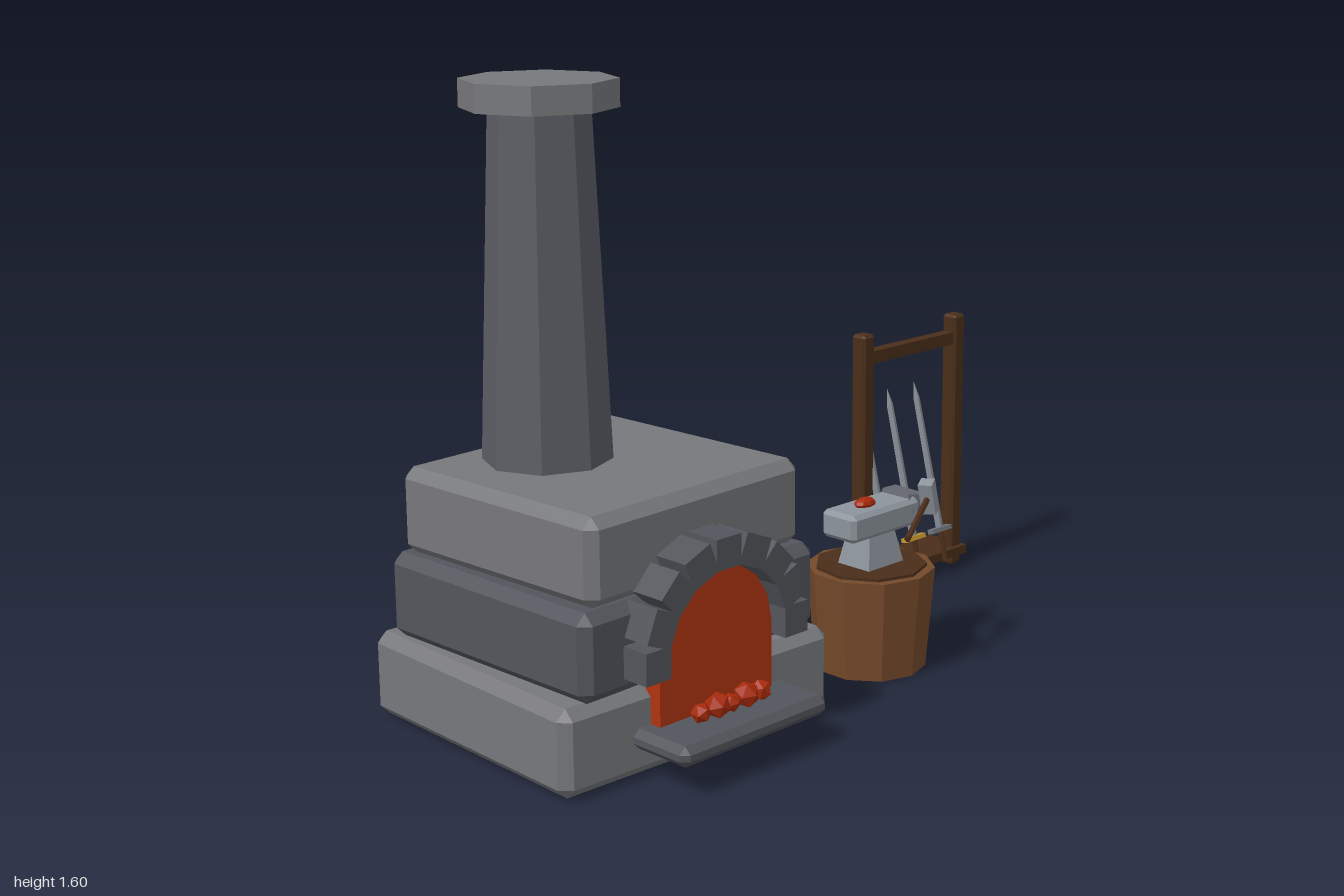
import * as THREE from 'three';
import { ConvexGeometry } from 'three/addons/geometries/ConvexGeometry.js';
import { toCreasedNormals } from 'three/addons/utils/BufferGeometryUtils.js';

const COLORS = {
  stone: 0x77787b, darkStone: 0x53555c, chimney: 0x5b5d64, fire: 0xb03410, ember: 0xa82a0a,
  wood: 0x74492a, darkWood: 0x4a2e1a, steel: 0x8d949c, iron: 0x6f747b, gold: 0xc8962c,
};
const mats = {};
for (const k in COLORS) mats[k] = new THREE.MeshStandardMaterial({ color: COLORS[k], flatShading: true });
const smoothWood = new THREE.MeshStandardMaterial({ color: COLORS.wood });
const smoothIron = new THREE.MeshStandardMaterial({ color: COLORS.iron });

function add(parent, name, geometry, material, x = 0, y = 0, z = 0) {
  const mesh = new THREE.Mesh(geometry, material);
  mesh.name = name;
  mesh.position.set(x, y, z);
  parent.add(mesh);
  return mesh;
}

function group(parent, name, x = 0, y = 0, z = 0) {
  const g = new THREE.Group();
  g.name = name;
  g.position.set(x, y, z);
  parent.add(g);
  return g;
}

// Box with every edge cut at 45 degrees
function chamferBox(w, h, d, c) {
  const pts = [], a = w / 2, b = h / 2, e = d / 2;
  for (const i of [-1, 1]) for (const j of [-1, 1]) for (const k of [-1, 1]) {
    pts.push(new THREE.Vector3(i * a, j * (b - c), k * (e - c)));
    pts.push(new THREE.Vector3(i * (a - c), j * b, k * (e - c)));
    pts.push(new THREE.Vector3(i * (a - c), j * (b - c), k * e));
  }
  return new ConvexGeometry(pts);
}

function buildFurnace(root) {
  const furnace = group(root, 'furnace');
  // Stacked slabs, each slightly turned: width, height, depth, y, z, turn
  const slabs = [
    [0.858, 0.22, 0.772, 0.115, -0.08, -0.037, 'stone'],
    [0.785, 0.22, 0.722, 0.333, -0.068, 0.02, 'darkStone'],
    [0.722, 0.22, 0.683, 0.55, -0.07, 0.04, 'stone'],
  ];
  for (const [w, h, d, y, z, turn, m] of slabs)
    add(furnace, 'stoneSlab', chamferBox(w, h, d, 0.027), mats[m], -0.552, y, z).rotation.y = turn;

  // Chimney and cap
  add(furnace, 'chimney', new THREE.CylinderGeometry(0.125, 0.164, 0.9, 8), mats.chimney, -0.62, 1.09, -0.194);
  add(furnace, 'chimneyCap', new THREE.CylinderGeometry(0.194, 0.194, 0.07, 8), mats.stone, -0.62, 1.565, -0.194);

  // Glowing mouth
  const mouth = new THREE.Shape();
  mouth.moveTo(-0.186, 0.12);
  mouth.lineTo(0.186, 0.12);
  for (let i = 0; i <= 8; i++) {
    const a = (i / 8) * Math.PI;
    mouth.lineTo(0.186 * Math.cos(a), 0.3 + 0.186 * Math.sin(a));
  }
  add(furnace, 'fireMouth', new THREE.ExtrudeGeometry(mouth, { depth: 0.1, bevelEnabled: false }),
    mats.fire, -0.55, 0, 0.232);

  // Arch stones
  for (let i = 0; i < 9; i++) {
    const a = (i / 8) * Math.PI;
    const stone = add(furnace, 'archStone', new THREE.BoxGeometry(0.078, i % 2 ? 0.086 : 0.08, 0.1), mats.darkStone,
      -0.55 + 0.228 * Math.cos(a), 0.305 + 0.222 * Math.sin(a), 0.326);
    stone.rotation.z = a;
  }

  // Hearth shelf and embers
  add(furnace, 'hearthShelf', chamferBox(0.485, 0.052, 0.25, 0.018), mats.darkStone, -0.547, 0.104, 0.347);
  [[-0.65, 0.026], [-0.6, 0.033], [-0.55, 0.024], [-0.505, 0.033], [-0.45, 0.028]].forEach(([x, r], i) => {
    const ember = add(furnace, 'ember', new THREE.IcosahedronGeometry(r, 0), mats.ember,
      x, 0.13 + r, 0.38 + (i % 2) * 0.006);
    ember.rotation.set(i, i * 0.7, 0);
  });
}

function buildBarrel(root) {
  const barrel = group(root, 'barrel', -0.005, 0, -0.293);
  const profile = [[0, 0.005], [0.138, 0.005], [0.155, 0.075], [0.163, 0.15], [0.155, 0.225], [0.14, 0.295], [0, 0.295]]
    .map(([x, y]) => new THREE.Vector2(x, y));
  add(barrel, 'barrelBody', toCreasedNormals(new THREE.LatheGeometry(profile, 16), 0.8), smoothWood);
  for (const y of [0.05, 0.248])
    add(barrel, 'barrelHoop', new THREE.TorusGeometry(0.155, 0.009, 6, 16), smoothIron, 0, y, 0).rotation.x = Math.PI / 2;
}

function buildAnvil(root) {
  const station = group(root, 'anvilStation', 0.183, 0, 0.165);
  add(station, 'stump', new THREE.CylinderGeometry(0.172, 0.15, 0.275, 10), mats.wood, 0, 0.1375, 0);
  add(station, 'stumpTop', new THREE.CylinderGeometry(0.15, 0.15, 0.012, 9), mats.darkWood, 0, 0.277, 0);

  // Tapered waist with four sides
  const waist = new THREE.CylinderGeometry(0.5, 0.72, 0.1, 4);
  waist.rotateY(Math.PI / 4);
  waist.scale(0.135, 1, 0.11);
  add(station, 'anvilWaist', waist, mats.steel, 0, 0.328, 0);
  add(station, 'anvilBody', chamferBox(0.265, 0.075, 0.118, 0.012), mats.steel, 0, 0.408, 0);
  const horn = add(station, 'anvilHorn', new THREE.ConeGeometry(0.063, 0.155, 8), mats.iron, 0.174, 0.413, 0);
  horn.rotation.z = -Math.PI / 2;
  add(station, 'hotMetal', new THREE.SphereGeometry(0.035, 8, 6), mats.ember, -0.028, 0.452, 0.003).scale.set(1, 0.45, 0.65);

  // Hammer leaning across the anvil face
  const tail = new THREE.Vector3(-0.083, 0.408, 0.2), tip = new THREE.Vector3(0.107, 0.472, 0.112);
  const hammer = group(station, 'hammer');
  hammer.position.copy(tail);
  hammer.quaternion.setFromUnitVectors(new THREE.Vector3(1, 0, 0), tip.clone().sub(tail).normalize());
  const length = tail.distanceTo(tip);
  const handle = add(hammer, 'hammerHandle', new THREE.CylinderGeometry(0.009, 0.009, length, 6), mats.darkWood, length / 2, 0, 0);
  handle.rotation.z = Math.PI / 2;
  add(hammer, 'hammerHead', new THREE.BoxGeometry(0.036, 0.09, 0.038), mats.steel, length - 0.015, 0, 0);
}

// Sword standing on its grip, blade upward
function buildSword(parent, x, guardMaterial) {
  const sword = group(parent, 'sword', x, 0.048, -0.162);
  sword.rotation.x = -0.25;
  add(sword, 'swordGrip', new THREE.CylinderGeometry(0.008, 0.008, 0.09, 6), mats.darkWood, 0, 0.045, 0);
  add(sword, 'swordGuard', new THREE.BoxGeometry(0.085, 0.013, 0.022), guardMaterial, 0, 0.093, 0);
  const blade = [];
  for (const [y, w] of [[0.097, 0.017], [0.495, 0.014]])
    for (const s of [-1, 1])
      blade.push(new THREE.Vector3(s * w, y, 0), new THREE.Vector3(0, y, s * 0.006));
  blade.push(new THREE.Vector3(0, 0.545, 0));
  add(sword, 'swordBlade', new ConvexGeometry(blade), mats.steel);
}

function buildRack(root) {
  const rack = group(root, 'swordRack');
  for (const s of [-1, 1])
    add(rack, 'rackPost', chamferBox(0.05, 0.775, 0.05, 0.008), mats.darkWood, 0.77 + s * 0.2, 0.395, -0.216);
  add(rack, 'rackTopRail', new THREE.BoxGeometry(0.4, 0.036, 0.036), mats.darkWood, 0.77, 0.713, -0.216);
  add(rack, 'rackShelf', new THREE.BoxGeometry(0.46, 0.026, 0.142), mats.darkWood, 0.77, 0.053, -0.247);
  [0.645, 0.765, 0.885].forEach((x, i) => buildSword(rack, x, i === 1 ? mats.gold : mats.iron));
}

export function createModel() {
  const root = new THREE.Group();
  root.name = 'forge';
  buildFurnace(root);
  buildBarrel(root);
  buildAnvil(root);
  buildRack(root);
  return root;
}
